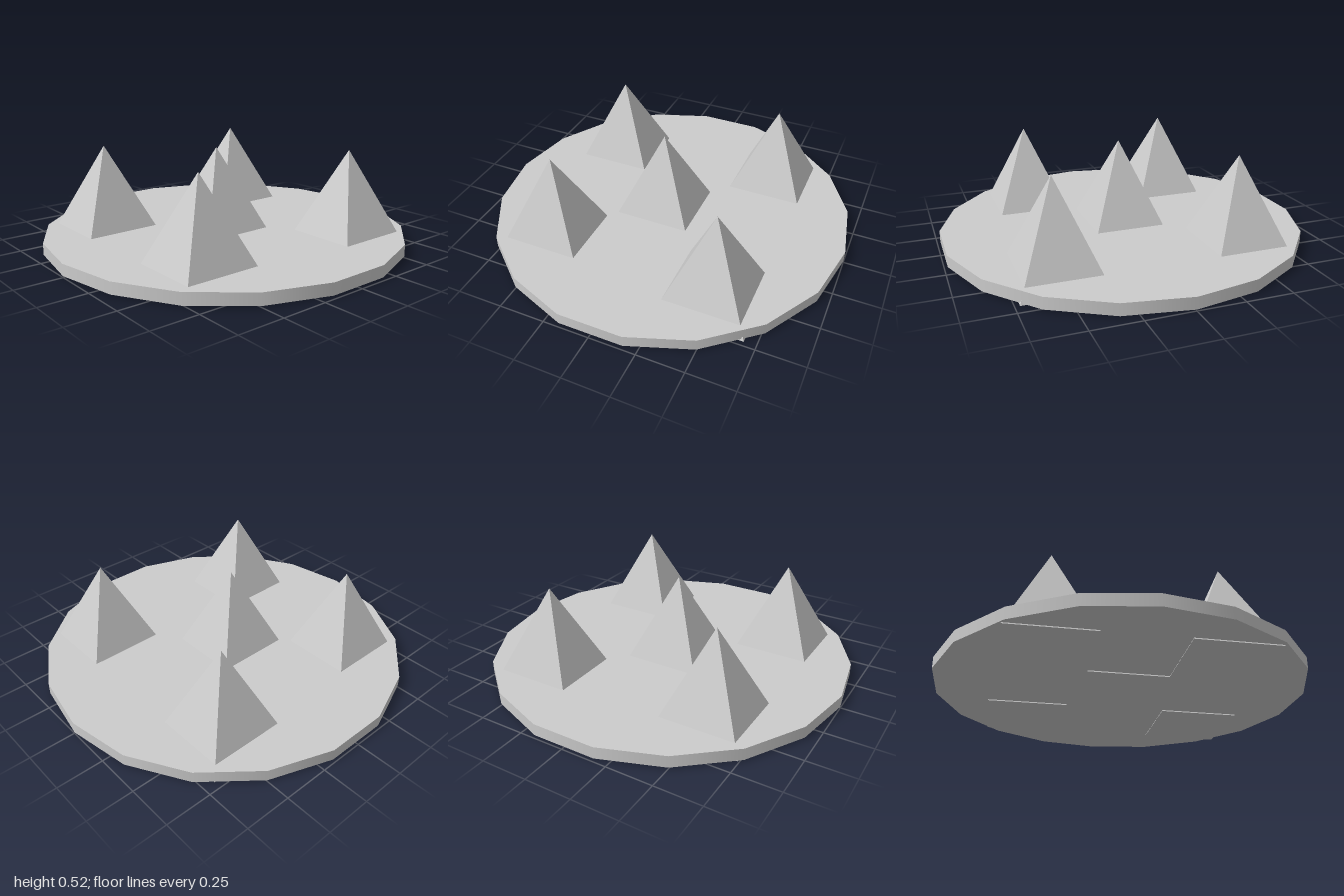
import * as THREE from 'three';

const BASE_BOTTOM = 0.007, BASE_TOP = 0.07;
const SPIKE_HEIGHT = 0.523, SPIKE_WIDTH = 0.474, SPIKE_DEPTH = 0.44;

// Apex positions of the spikes, as [x, z]
const SPIKES = [[-0.505, -0.44], [0.45, -0.49], [-0.05, -0.01], [-0.505, 0.425], [0.45, 0.505]];

export function createModel() {
  const group = new THREE.Group();
  group.name = 'spikedPlate';
  const smooth = new THREE.MeshStandardMaterial({ color: 0xcccccc });
  const flat = new THREE.MeshStandardMaterial({ color: 0xcccccc, flatShading: true });

  // Thin eighteen-sided plate with a corner on the x axis
  const plateHeight = BASE_TOP - BASE_BOTTOM;
  const plate = new THREE.Mesh(new THREE.CylinderGeometry(1, 1, plateHeight, 18), smooth);
  plate.name = 'plate';
  plate.rotation.y = Math.PI / 2;
  plate.position.set(0, BASE_BOTTOM + plateHeight / 2, -0.002);
  group.add(plate);

  // Four-sided spikes pushed right through the plate
  const spikeGeometry = new THREE.ConeGeometry(Math.SQRT1_2, SPIKE_HEIGHT, 4);
  spikeGeometry.rotateY(Math.PI / 4);
  spikeGeometry.scale(SPIKE_WIDTH, 1, SPIKE_DEPTH);
  spikeGeometry.translate(0, SPIKE_HEIGHT / 2, 0);
  SPIKES.forEach(([x, z], i) => {
    const spike = new THREE.Mesh(spikeGeometry, flat);
    spike.name = `spike${i + 1}`;
    spike.position.set(x, 0, z);
    group.add(spike);
  });

  return group;
}
